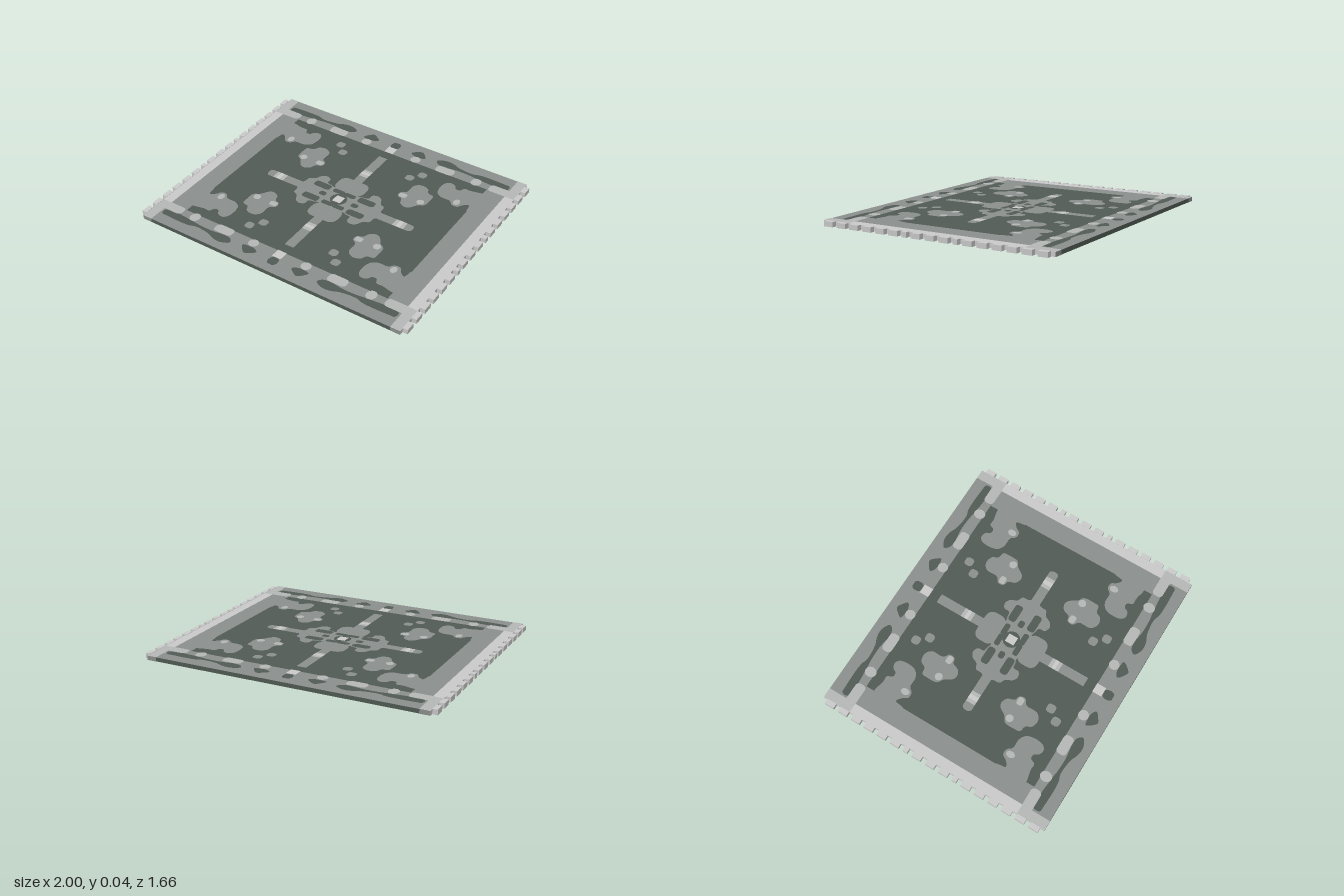
import * as THREE from 'three';
import { mergeGeometries } from 'three/addons/utils/BufferGeometryUtils.js';

const H = 0.0333, STEP = 0.001, CORE = H - 6 * STEP;

export function createModel() {
  const rug = new THREE.Group();
  rug.name = 'rug';
  const paint = (name, color) => {
    const m = new THREE.MeshStandardMaterial({ color });
    m.name = name;
    return m;
  };
  const green = paint('dark green', 0x505a53);
  const grey = paint('mid grey', 0x8a8e8c);
  const light = paint('light grey', 0xb3b6b4);
  const pale = paint('pale wool', 0xc8c8c8);

  const add = (name, geometry, material) => {
    const mesh = new THREE.Mesh(geometry, material);
    mesh.name = name;
    rug.add(mesh);
    return mesh;
  };

  // Woven core, with grey faces and green edges
  add('core', new THREE.BoxGeometry(1.8, CORE, 1.66), [green, green, grey, grey, green, green])
    .position.y = H / 2;

  // Pale end strips and fringe tabs
  const tabs = [[0.733, 0.8], [0.633, 0.7], [0.533, 0.6], [0.433, 0.5], [0.333, 0.4],
    [0.233, 0.3], [0.167, 0.2], [0.067, 0.133]];
  for (const s of [-1, 1]) {
    add('endStrip', new THREE.BoxGeometry(0.0667, CORE + 2 * STEP, 1.66),
      [pale, pale, pale, pale, grey, grey]).position.set(s * 0.9333, H / 2, 0);
    const fringe = (z0, z1) => add('fringeTab', new THREE.BoxGeometry(0.0333, H, z1 - z0), pale)
      .position.set(s * 0.9833, H / 2, (z0 + z1) / 2);
    for (const [a, b] of tabs) { fringe(a, b); fringe(-b, -a); }
    fringe(-0.033, 0.033);
  }

  // Outline helpers, in the positive quarter of the rug
  const rect = (a0, a1, b0, b1) => [[a0, b0], [a1, b0], [a1, b1], [a0, b1]];
  const smooth = (pts) => new THREE.CatmullRomCurve3(
    pts.map(([a, b]) => new THREE.Vector3(a, b, 0)), true, 'centripetal')
    .getPoints(pts.length * 5).slice(0, -1).map((p) => [p.x, p.y]);
  const oval = (a, b, ra, rb = ra) => Array.from({ length: 20 }, (_, i) => {
    const t = (i / 20) * Math.PI * 2;
    return [a + ra * Math.cos(t), b + rb * Math.sin(t)];
  });
  const pill = (a0, a1, b0, b1) => { // rectangle with rounded corners
    const r = Math.min(a1 - a0, b1 - b0) * 0.35, out = [];
    const corners = [[a1 - r, b1 - r], [a0 + r, b1 - r], [a0 + r, b0 + r], [a1 - r, b0 + r]];
    corners.forEach(([a, b], k) => {
      for (let i = 0; i <= 4; i++) {
        const t = (k + i / 4) * Math.PI / 2;
        out.push([a + r * Math.cos(t), b + r * Math.sin(t)]);
      }
    });
    return out;
  };

  // Mirrors outlines into all four quarters, on the upper and lower faces
  const inlay = (name, material, layer, outlines) => {
    const parts = [];
    for (const pts of outlines) for (const sx of [-1, 1]) for (const sz of [-1, 1]) {
      const shape = new THREE.Shape(pts.map(([a, b]) => new THREE.Vector2(a * sx, b * sz)));
      for (const face of [-1, 1]) {
        const g = new THREE.ShapeGeometry(shape);
        g.rotateX(-face * Math.PI / 2);
        g.translate(0, H / 2 + face * (CORE / 2 + layer * STEP), 0);
        parts.push(g);
      }
    }
    add(name, mergeGeometries(parts), material);
  };

  // Green central field and border figures
  inlay('field', green, 1, [rect(0, 0.765, 0, 0.635)]);
  inlay('borderFigures', green, 1, [
    smooth([[0.88, 0.70], [0.88, 0.745], [0.84, 0.75], [0.66, 0.75], [0.61, 0.735],
      [0.50, 0.745], [0.45, 0.765], [0.40, 0.772], [0.36, 0.762], [0.33, 0.74],
      [0.35, 0.71], [0.40, 0.70], [0.50, 0.712], [0.60, 0.71], [0.64, 0.705]]),
    smooth([[0.25, 0.71], [0.225, 0.75], [0.20, 0.77], [0.175, 0.76], [0.135, 0.725], [0.16, 0.705], [0.2, 0.7]]),
    rect(0, 0.02, 0.7, 0.768), oval(0.012, 0.735, 0.022, 0.035),
  ]);

  // Grey motifs in the field
  inlay('cornerMotifs', grey, 2, [
    smooth([[0.79, 0.57], [0.68, 0.56], [0.64, 0.56], [0.62, 0.525], [0.59, 0.525], [0.57, 0.555],
      [0.53, 0.565], [0.50, 0.535], [0.505, 0.43], [0.55, 0.395], [0.62, 0.39], [0.65, 0.36],
      [0.69, 0.36], [0.71, 0.39], [0.735, 0.412], [0.75, 0.415], [0.765, 0.35], [0.79, 0.36]]),
  ]);
  inlay('flowerMotifs', grey, 2, [
    smooth([[0.405, 0.435], [0.44, 0.42], [0.46, 0.385], [0.505, 0.37], [0.51, 0.335], [0.505, 0.26],
      [0.47, 0.235], [0.43, 0.18], [0.40, 0.17], [0.36, 0.19], [0.34, 0.235], [0.305, 0.25],
      [0.30, 0.29], [0.335, 0.32], [0.34, 0.40], [0.37, 0.43]]),
    pill(0.30, 0.36, 0.505, 0.565), pill(0.24, 0.30, 0.435, 0.495),
  ]);
  inlay('medallion', grey, 2, [
    smooth([[0.32, 0], [0.30, 0.05], [0.295, 0.09], [0.26, 0.11], [0.235, 0.155], [0.20, 0.172],
      [0.165, 0.155], [0.16, 0.115], [0.11, 0.10], [0.10, 0], [0.2, -0.01]]),
    pill(-0.11, 0.11, 0.09, 0.235), rect(0, 0.11, 0, 0.1),
  ]);
  inlay('crossBars', grey, 2, [
    rect(0, 0.033, 0.2, 0.565), rect(0.28, 0.53, 0, 0.033), pill(0.5, 0.565, -0.033, 0.033),
  ]);

  // Green gaps inside the medallion
  inlay('medallionGaps', green, 3, [
    pill(0.11, 0.235, 0.045, 0.10), pill(0, 0.085, 0.052, 0.09),
    oval(0, 0, 0.058), pill(0.10, 0.15, -0.02, 0.02),
  ]);

  // Light knots
  inlay('knots', light, 3, [
    oval(0.465, 0.27, 0.026), pill(0.305, 0.36, 0.25, 0.293), oval(0.665, 0.40, 0.022, 0.03),
    rect(0, 0.033, 0.30, 0.375), rect(0.43, 0.51, 0, 0.033),
  ]);
  inlay('borderKnots', light, 3, [
    oval(0.67, 0.665, 0.035, 0.04), pill(0.365, 0.5, 0.63, 0.70), oval(0.2, 0.665, 0.035),
    pill(0.77, 0.93, 0.628, 0.70),
  ]);
  inlay('rugCorners', light, 2, [rect(0.9, 0.965, 0.63, 0.83)]);

  // Palest highlights in the middle of the knots
  inlay('highlights', pale, 4, [
    rect(0, 0.03, 0, 0.033), rect(0, 0.033, 0.325, 0.35), rect(0.455, 0.485, 0, 0.033),
    rect(0, 0.033, 0.633, 0.70),
  ]);
  return rug;
}
